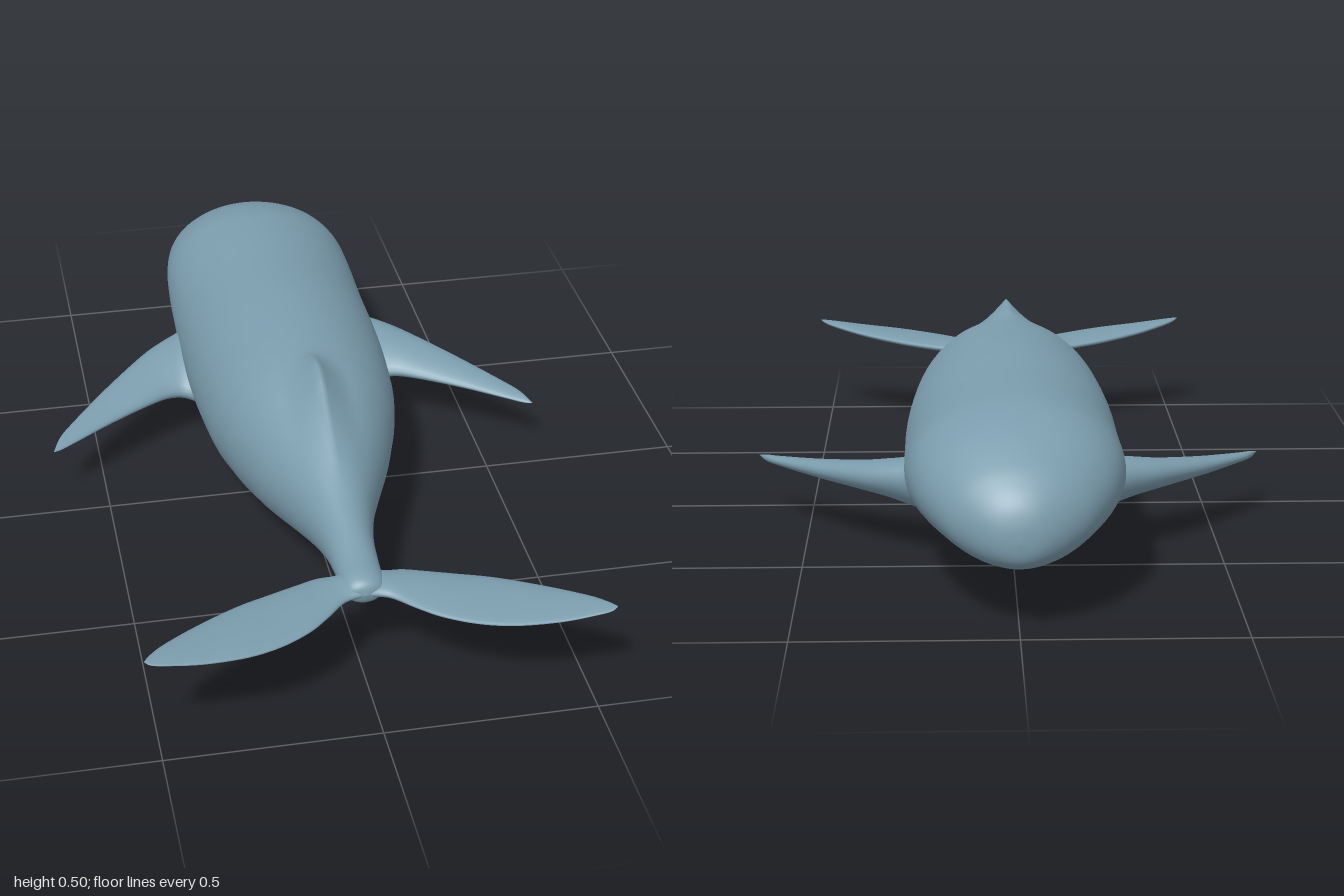
import * as THREE from 'three';

const skin = new THREE.MeshStandardMaterial({ color: 0x7b9cad });
skin.name = 'blue grey skin';

// Smooths a short table of cross-section measures into many rows (Catmull-Rom per column)
function smoothRows(rows, steps) {
  const out = [];
  const last = rows.length - 1;
  for (let i = 0; i < last; i++) {
    const [p, a, b, n] = [rows[Math.max(i - 1, 0)], rows[i], rows[i + 1], rows[Math.min(i + 2, last)]];
    for (let s = 0; s < steps; s++) {
      const t = s / steps;
      out.push(a.map((v, k) => {
        const m0 = (b[k] - p[k]) / 2, m1 = (n[k] - v) / 2, d = b[k] - v;
        return v + m0 * t + (3 * d - 2 * m0 - m1) * t * t + (m0 + m1 - 2 * d) * t * t * t;
      }));
    }
  }
  out.push(rows[last]);
  return out;
}

// Skins closed rings; point(row, angle) returns one vertex
function loft(name, rows, sides, point, flip = false) {
  const positions = [], index = [];
  rows.forEach((row, i) => {
    for (let j = 0; j < sides; j++) {
      positions.push(...point(row, (j / sides) * Math.PI * 2));
      if (i === rows.length - 1) continue;
      const a = i * sides + j, b = i * sides + ((j + 1) % sides);
      const c = a + sides, d = b + sides;
      if (flip) index.push(a, c, b, b, c, d);
      else index.push(a, b, c, b, d, c);
    }
  });
  const geometry = new THREE.BufferGeometry();
  geometry.setAttribute('position', new THREE.Float32BufferAttribute(positions, 3));
  geometry.setIndex(index);
  geometry.computeVertexNormals();
  const mesh = new THREE.Mesh(geometry, skin);
  mesh.name = name;
  return mesh;
}

// z, half width, bottom, top, dorsal ridge height
const bodyRows = [
  [-1, 0, 0.22, 0.22, 0], [-0.995, 0.042, 0.185, 0.26, 0],
  [-0.98, 0.08, 0.163, 0.3, 0], [-0.95, 0.124, 0.148, 0.338, 0],
  [-0.9, 0.17, 0.139, 0.378, 0], [-0.8, 0.222, 0.13, 0.43, 0],
  [-0.7, 0.246, 0.11, 0.457, 0], [-0.6, 0.254, 0.075, 0.463, 0],
  [-0.5, 0.256, 0.042, 0.465, 0], [-0.4, 0.257, 0.02, 0.467, 0],
  [-0.2, 0.256, 0.005, 0.475, 0], [0, 0.241, 0.015, 0.474, 0],
  [0.1, 0.222, 0.031, 0.467, 0.008], [0.15, 0.21, 0.04, 0.458, 0.032],
  [0.2, 0.194, 0.051, 0.446, 0.055], [0.25, 0.178, 0.065, 0.43, 0.058],
  [0.3, 0.16, 0.08, 0.415, 0.042], [0.4, 0.12, 0.112, 0.383, 0.015],
  [0.5, 0.083, 0.143, 0.347, 0], [0.6, 0.06, 0.172, 0.312, 0],
  [0.7, 0.052, 0.197, 0.286, 0], [0.76, 0.05, 0.206, 0.278, 0],
  [0.79, 0.036, 0.215, 0.265, 0], [0.8, 0, 0.24, 0.24, 0],
];

// Body, with the low dorsal fin raised as a ridge on its back
function bodyPoint([z, w, bottom, top, ridge], a) {
  const x = w * Math.cos(a), s = Math.sin(a);
  const fin = s > 0 ? ridge * Math.max(0, 1 - Math.abs(x) / 0.08) ** 1.6 : 0;
  return [x, (top + bottom) / 2 + ((top - bottom) / 2) * s + fin, z];
}

// x, leading z, trailing z, bottom, top
const flipperRows = [
  [0.19, -0.52, -0.2, 0.085, 0.275], [0.25, -0.475, -0.25, 0.113, 0.247],
  [0.3, -0.444, -0.25, 0.129, 0.235], [0.36, -0.4, -0.22, 0.138, 0.22],
  [0.47, -0.285, -0.155, 0.143, 0.195], [0.57, -0.163, -0.088, 0.146, 0.174],
  [0.61, -0.105, -0.062, 0.147, 0.166], [0.632, -0.05, -0.05, 0.155, 0.155],
];
const flukeRows = [
  [0, 0.69, 0.797, 0.212, 0.268], [0.05, 0.716, 0.81, 0.219, 0.258],
  [0.1, 0.717, 0.86, 0.223, 0.254], [0.15, 0.735, 0.907, 0.226, 0.255],
  [0.22, 0.763, 0.95, 0.23, 0.257], [0.3, 0.8, 0.98, 0.236, 0.262],
  [0.4, 0.863, 0.996, 0.247, 0.268], [0.48, 0.926, 0.999, 0.26, 0.275],
  [0.515, 0.963, 0.997, 0.268, 0.277], [0.53, 0.988, 0.988, 0.277, 0.277],
];

// Foil section, thicker towards the leading edge and pitched by tilt
function foil(name, rows, side, tilt) {
  const point = ([x, lead, trail, bottom, top], a) => {
    const c = Math.cos(a), s = Math.sin(a);
    const lift = -tilt * c - (1 - tilt * 0.4) * s * (1 - 0.25 * c);
    return [side * x, (top + bottom) / 2 + ((top - bottom) / 2) * lift, (lead + trail) / 2 + ((trail - lead) / 2) * c];
  };
  return loft(name, smoothRows(rows, 5), 28, point, side < 0);
}

export function createModel() {
  const model = new THREE.Group();
  model.name = 'whale';
  model.add(loft('body', smoothRows(bodyRows, 5), 72, bodyPoint));
  for (const [side, label] of [[1, 'left'], [-1, 'right']]) {
    model.add(foil(label + 'Flipper', flipperRows, side, 0.35));
    model.add(foil(label + 'Fluke', flukeRows, side, 0));
  }
  return model;
}
